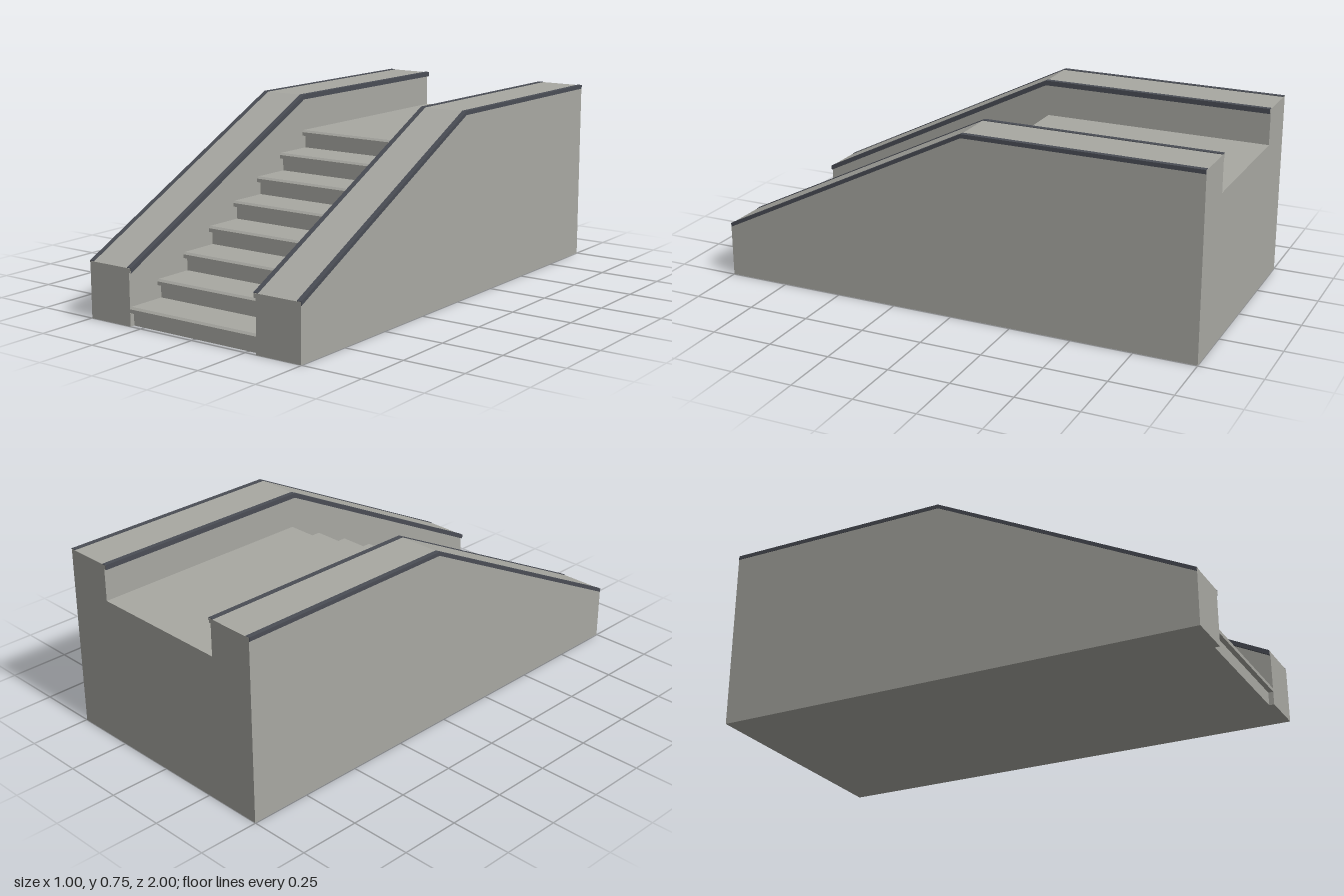
import * as THREE from 'three';

const stone = new THREE.MeshStandardMaterial({ color: 0xa8a8a2 });
stone.name = 'stone grey';
const trim = new THREE.MeshStandardMaterial({ color: 0x4a4d55 });
trim.name = 'dark trim';

// Extrude a side profile of [z, y] points across x from x0 to x1
function profileMesh(name, points, x0, x1, material) {
  const shape = new THREE.Shape(points.map(([z, y]) => new THREE.Vector2(z, y)));
  const geometry = new THREE.ExtrudeGeometry(shape, { depth: x1 - x0, bevelEnabled: false });
  geometry.rotateY(-Math.PI / 2).translate(x1, 0, 0);
  const mesh = new THREE.Mesh(geometry, material);
  mesh.name = name;
  return mesh;
}

// Band following the wall top, between two vertical offsets, inset at its ends
function railBand(lower, upper, inset) {
  const top = [[1 - inset, 0.225 + inset / 2], [-0.05, 0.75], [-1 + inset, 0.75]];
  return [
    ...top.map(([z, y]) => [z, y + upper]),
    ...top.map(([z, y]) => [z, y + lower]).reverse(),
  ];
}

export function createModel() {
  const model = new THREE.Group();
  model.name = 'staircase';

  // Steps with chamfered, overhanging noses, running into the landing
  const steps = 8, rise = 0.075, run = 0.15;
  const recess = 0.02, chamfer = 0.008, nose = 0.0225;
  const profile = [[-1, 0], [1 - recess, 0]];
  for (let i = 0; i < steps; i++) {
    const front = 1 - run * i;
    const top = rise * (i + 1);
    profile.push([front - recess, top - nose], [front, top - nose],
      [front, top - chamfer], [front - chamfer, top]);
    if (i < steps - 1) profile.push([front - run - recess, top]);
  }
  profile.push([-1, rise * steps]);
  model.add(profileMesh('stepsAndLanding', profile, -0.3, 0.3, stone));

  // Side walls, each with an overhanging inner lip and dark edge strips
  const wall = [[-1, 0], [1, 0], [1, 0.223], [-0.05, 0.748], [-1, 0.748]];
  for (const [side, s] of [['left', 1], ['right', -1]]) {
    const group = new THREE.Group();
    group.name = side + 'Wall';
    const add = (name, points, a, b, material) =>
      group.add(profileMesh(name, points, Math.min(a * s, b * s), Math.max(a * s, b * s), material));
    add('wallBody', wall, 0.3, 0.498, stone);
    add('innerLip', railBand(-0.019, -0.002, 0), 0.292, 0.3, stone);
    add('innerEdgeStrip', railBand(-0.02, 0, 0.001), 0.29, 0.31, trim);
    add('outerEdgeStrip', railBand(-0.016, 0, 0.001), 0.48, 0.5, trim);
    model.add(group);
  }
  return model;
}
